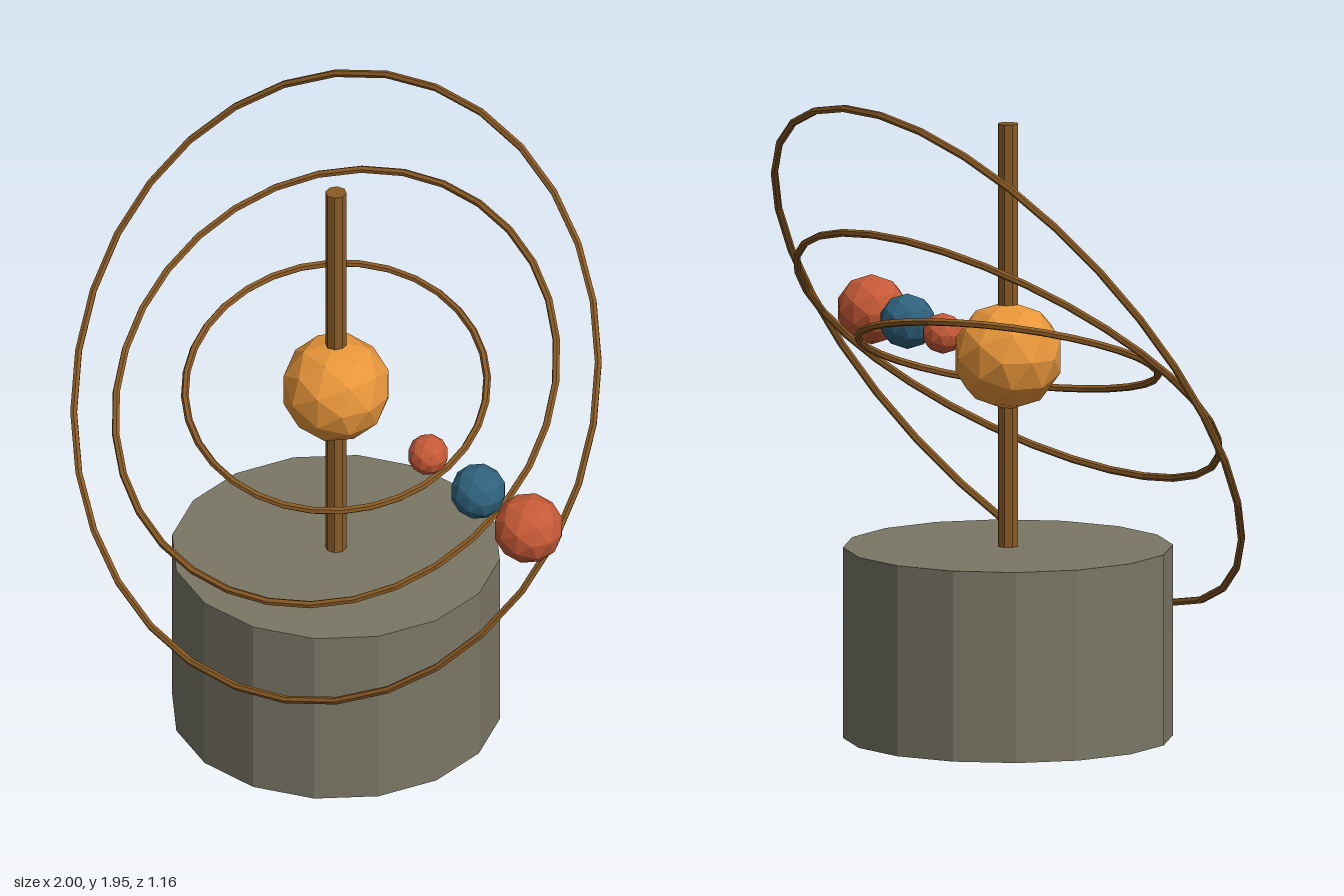
import * as THREE from 'three';

const AXIS_X = -0.054; // mast is off-centre because the planets reach out to +x
const HUB_Y = 1.152;

const paint = (color) => {
  const m = new THREE.MeshStandardMaterial({ flatShading: true });
  m.color.set(color);
  return m;
};

export function createModel() {
  const model = new THREE.Group();
  model.name = 'orrery';

  const stone = paint(0x7a7766);
  const brass = paint(0x8a5a24);
  const orange = paint(0xe8963a);
  const red = paint(0xc65a36);
  const blue = paint(0x2f627e);

  const add = (name, geometry, material, x, y) => {
    const mesh = new THREE.Mesh(geometry, material);
    mesh.name = name;
    mesh.position.set(x, y, 0);
    model.add(mesh);
    return mesh;
  };

  // Pedestal and mast
  const baseH = 0.576;
  const mastTop = 1.853;
  add('pedestal', new THREE.CylinderGeometry(0.493, 0.493, baseH, 16), stone, AXIS_X, baseH / 2);
  add('mast', new THREE.CylinderGeometry(0.032, 0.032, mastTop - baseH, 8), brass, AXIS_X, (mastTop + baseH) / 2);

  // Central sun
  add('sun', new THREE.IcosahedronGeometry(0.165, 1), orange, AXIS_X, HUB_Y);

  // Each orbit: a ring tipped about x, then leaned about z, with a planet beside it
  const orbits = [
    { name: 'inner', radius: 0.452, tip: 15, planet: 0.062, material: red },
    { name: 'middle', radius: 0.698, tip: 35, planet: 0.084, material: blue },
    { name: 'outer', radius: 0.945, tip: 55, planet: 0.106, material: red },
  ];
  for (const o of orbits) {
    const ringGeo = new THREE.TorusGeometry(o.radius, 0.0115, 6, 32);
    ringGeo.rotateX(Math.PI / 2);
    ringGeo.rotateX(THREE.MathUtils.degToRad(o.tip));
    ringGeo.rotateZ(THREE.MathUtils.degToRad(-15));
    add(o.name + 'Ring', ringGeo, brass, AXIS_X, HUB_Y);
    add(o.name + 'Planet', new THREE.IcosahedronGeometry(o.planet, 1), o.material, AXIS_X + o.radius, HUB_Y);
  }

  return model;
}
